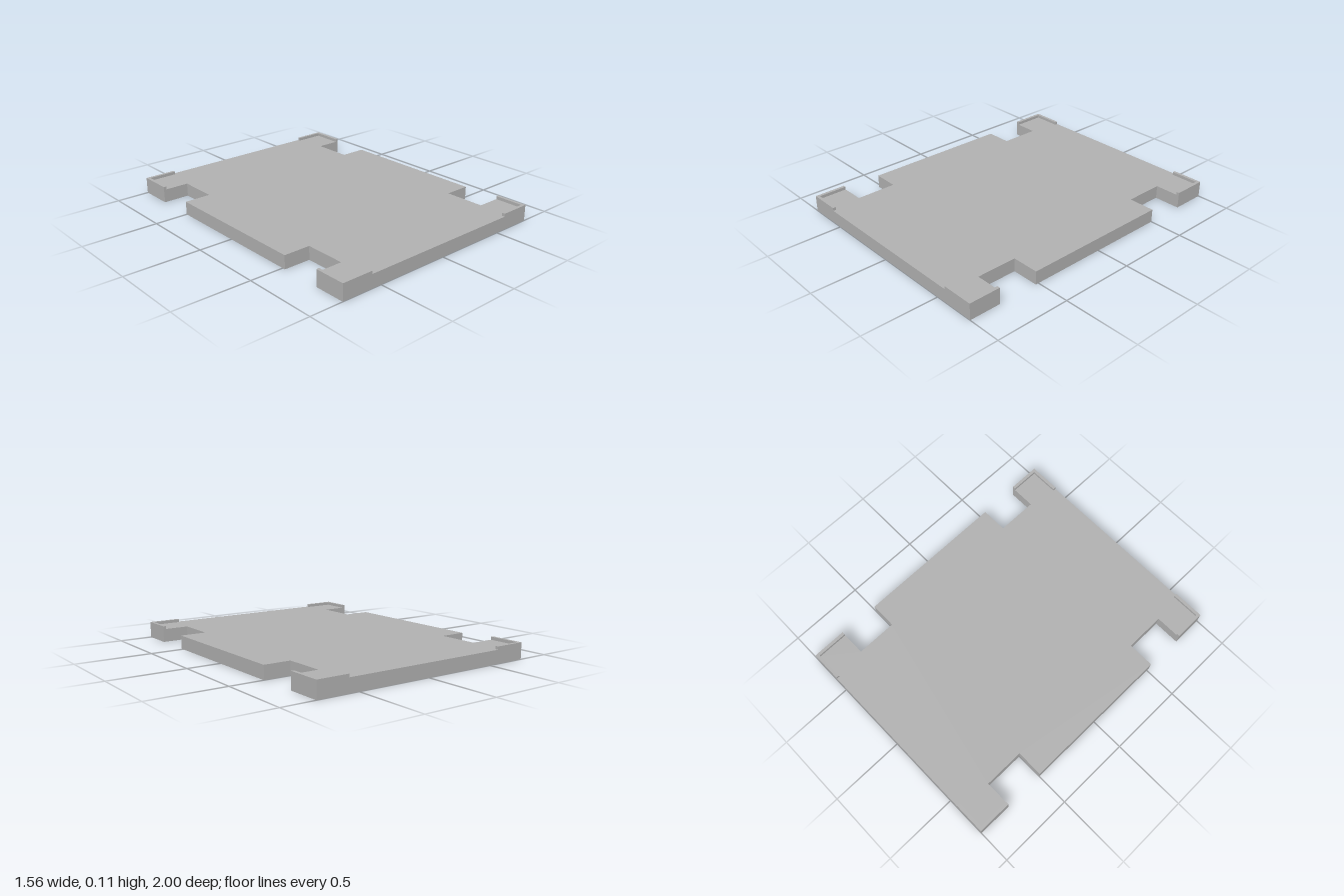
import * as THREE from 'three';

const HALF_X = 0.778, NOTCH_X = 0.6, LIP_X = 0.567;
const SLAB_H = 0.088, LIP_H = 0.02, LIP_T = 0.02;

// Extrudes a plan outline given as [x, z] points upward from height y
function extrudePlan(points, y, height) {
  const shape = new THREE.Shape(points.map(([x, z]) => new THREE.Vector2(x, -z)));
  return new THREE.ExtrudeGeometry(shape, { depth: height, bevelEnabled: false })
    .rotateX(-Math.PI / 2)
    .translate(0, y, 0);
}

export function createModel() {
  const group = new THREE.Group();
  group.name = 'notchedTray';
  const grey = new THREE.MeshStandardMaterial({ color: 0xb2b2b2 });
  grey.name = 'plain grey';

  const add = (name, geometry) => {
    const mesh = new THREE.Mesh(geometry, grey);
    mesh.name = name;
    group.add(mesh);
  };

  // Base slab with two notches in each long side
  const side = [
    [HALF_X, 1], [HALF_X, 0.79], [NOTCH_X, 0.79], [NOTCH_X, 0.52], [HALF_X, 0.52],
    [HALF_X, -0.5], [NOTCH_X, -0.5], [NOTCH_X, -0.77], [HALF_X, -0.77], [HALF_X, -1],
  ];
  const mirrored = side.map(([x, z]) => [-x, z]).reverse();
  add('baseSlab', extrudePlan([...side, ...mirrored], 0, SLAB_H));

  // Raised L-shaped lips at the four corners
  for (const [endName, sz, innerZ] of [['front', 1, 0.79], ['back', -1, 0.77]]) {
    for (const [sideName, sx] of [['Left', 1], ['Right', -1]]) {
      const outline = [
        [LIP_X, 1], [HALF_X, 1], [HALF_X, innerZ], [HALF_X - LIP_T, innerZ],
        [HALF_X - LIP_T, 1 - LIP_T], [LIP_X, 1 - LIP_T],
      ].map(([x, z]) => [x * sx, z * sz]);
      add(`${endName}${sideName}Lip`, extrudePlan(outline, SLAB_H, LIP_H));
    }
  }
  return group;
}
